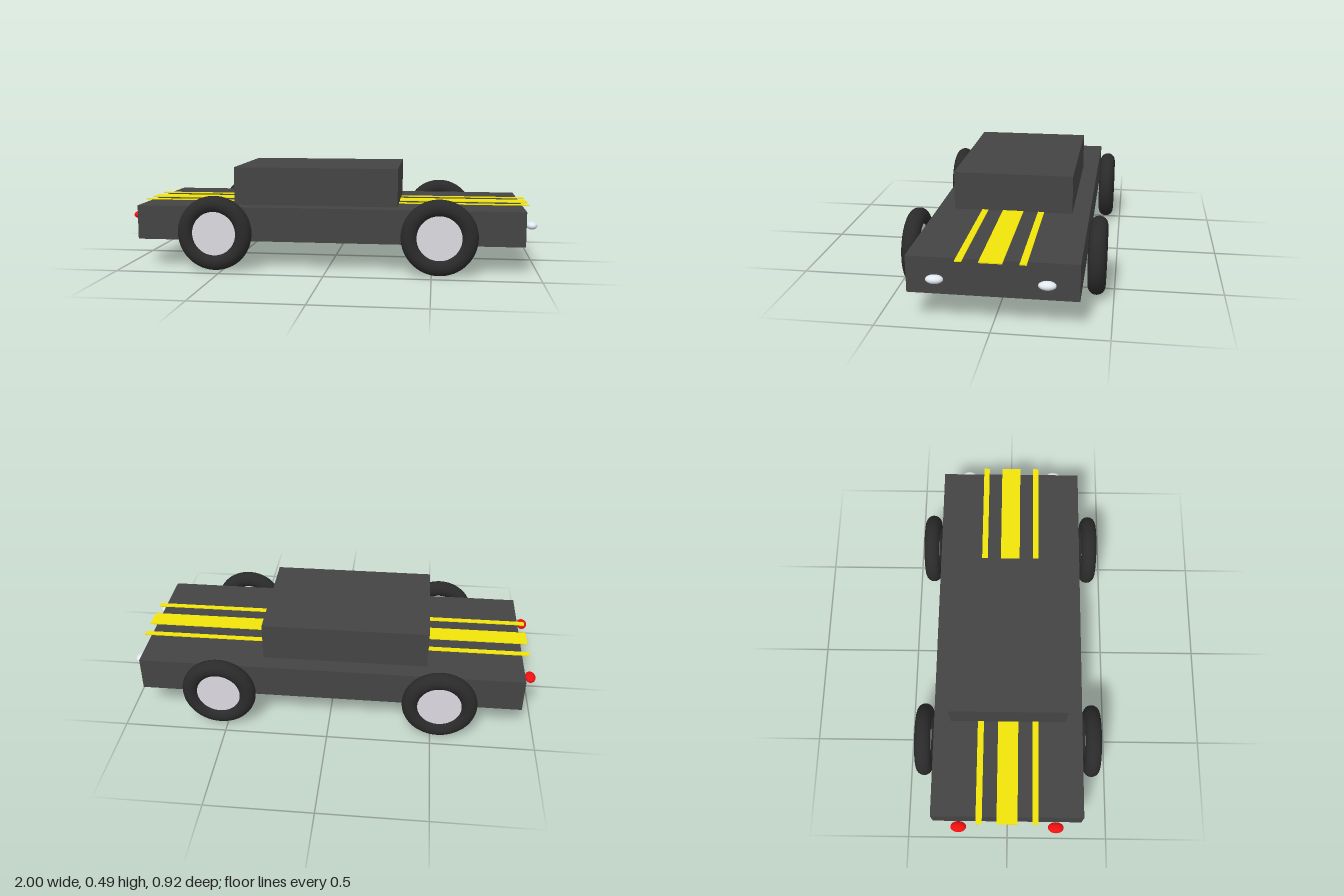
import * as THREE from 'three';

const paint = (color) => new THREE.MeshStandardMaterial({ color });

export function createModel() {
  const car = new THREE.Group();
  car.name = 'car';
  const bodyMat = paint(0x444444), tyreMat = paint(0x2a2a2a), hubMat = paint(0xdcdae0);
  const stripeMat = paint(0xf0e40a), headMat = paint(0xe0e8f0), tailMat = paint(0xf01010);

  function add(name, geometry, material, x, y, z, parent = car) {
    const mesh = new THREE.Mesh(geometry, material);
    mesh.name = name;
    mesh.position.set(x, y, z);
    parent.add(mesh);
    return mesh;
  }

  // Lower body and cabin
  add('body', new THREE.BoxGeometry(1.87, 0.166, 0.735), bodyMat, 0, 0.217, 0);
  add('cabin', new THREE.BoxGeometry(0.803, 0.185, 0.57), bodyMat, -0.068, 0.3925, 0);

  // Racing stripes, overhanging both ends
  for (const [z, width] of [[-0.135, 0.03], [0, 0.1], [0.135, 0.03]]) {
    add('stripe', new THREE.BoxGeometry(1.94, 0.005, width), stripeMat, 0, 0.301, z);
  }

  // Wheels: round tyre with a flat hub disc
  const tyre = new THREE.TorusGeometry(0.14, 0.04, 24, 64);
  const hub = new THREE.CylinderGeometry(0.11, 0.11, 0.04, 48).rotateX(Math.PI / 2);
  for (const x of [-0.535, 0.535]) {
    for (const side of [-1, 1]) {
      const wheel = new THREE.Group();
      wheel.name = (x > 0 ? 'front' : 'rear') + (side > 0 ? 'Right' : 'Left') + 'Wheel';
      wheel.position.set(x, 0.18, side * 0.42);
      add('tyre', tyre, tyreMat, 0, 0, 0, wheel);
      add('hub', hub, hubMat, 0, 0, 0, wheel);
      car.add(wheel);
    }
  }

  // Oval lamps, white ahead and red behind
  const lamp = new THREE.SphereGeometry(1, 32, 20).scale(0.026, 0.019, 0.038);
  for (const z of [-0.235, 0.235]) {
    add('headlight', lamp, headMat, 0.973, 0.217, z);
    add('tailLight', lamp, tailMat, -0.974, 0.235, z);
  }
  return car;
}
